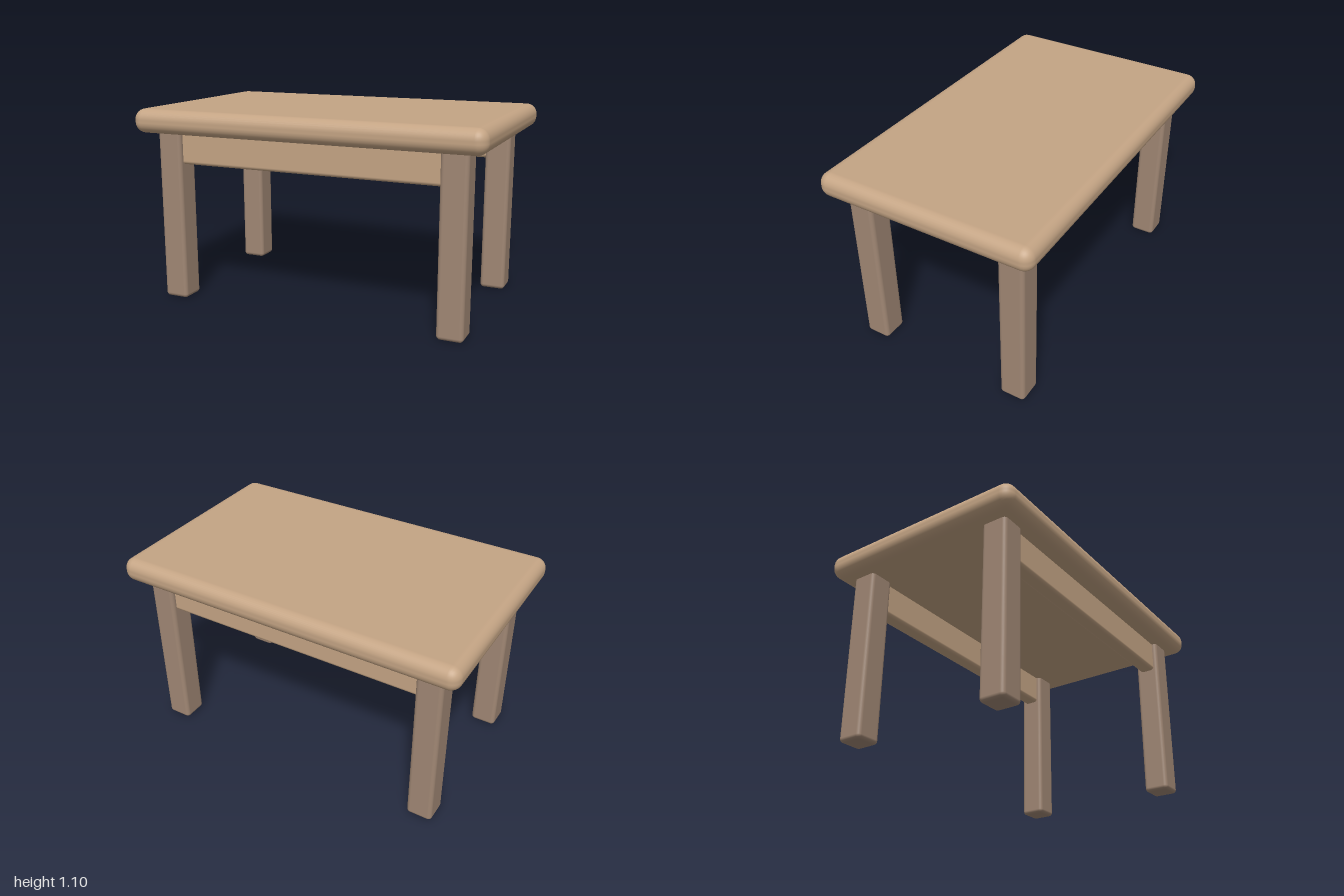
import * as THREE from 'three';
import { RoundedBoxGeometry } from 'three/addons/geometries/RoundedBoxGeometry.js';

const topWood = new THREE.MeshStandardMaterial({ color: 0xc4a484 });
const legWood = new THREE.MeshStandardMaterial({ color: 0xa08774 });

// Rounded block given by its size, edge radius and centre
function block(name, size, radius, centre, material) {
  const mesh = new THREE.Mesh(new RoundedBoxGeometry(...size, 4, radius), material);
  mesh.name = name;
  mesh.position.set(...centre);
  return mesh;
}

export function createModel() {
  const table = new THREE.Group();
  table.name = 'table';

  // Thick slab with soft edges
  table.add(block('tableTop', [2, 0.135, 1.23], 0.06, [0, 1.0325, 0], topWood));

  for (const [end, z] of [['front', 0.4475], ['back', -0.4475]]) {
    // Square legs, tops sunk slightly into the slab
    for (const [side, x] of [['Left', 0.8225], ['Right', -0.8225]]) {
      table.add(block(`${end}${side}Leg`, [0.145, 1, 0.145], 0.022, [x, 0.5, z], legWood));
    }
    // Long apron between the legs of each long side
    table.add(block(`${end}Apron`, [1.56, 0.21, 0.09], 0.02, [0, 0.892, z], topWood));
  }
  return table;
}
